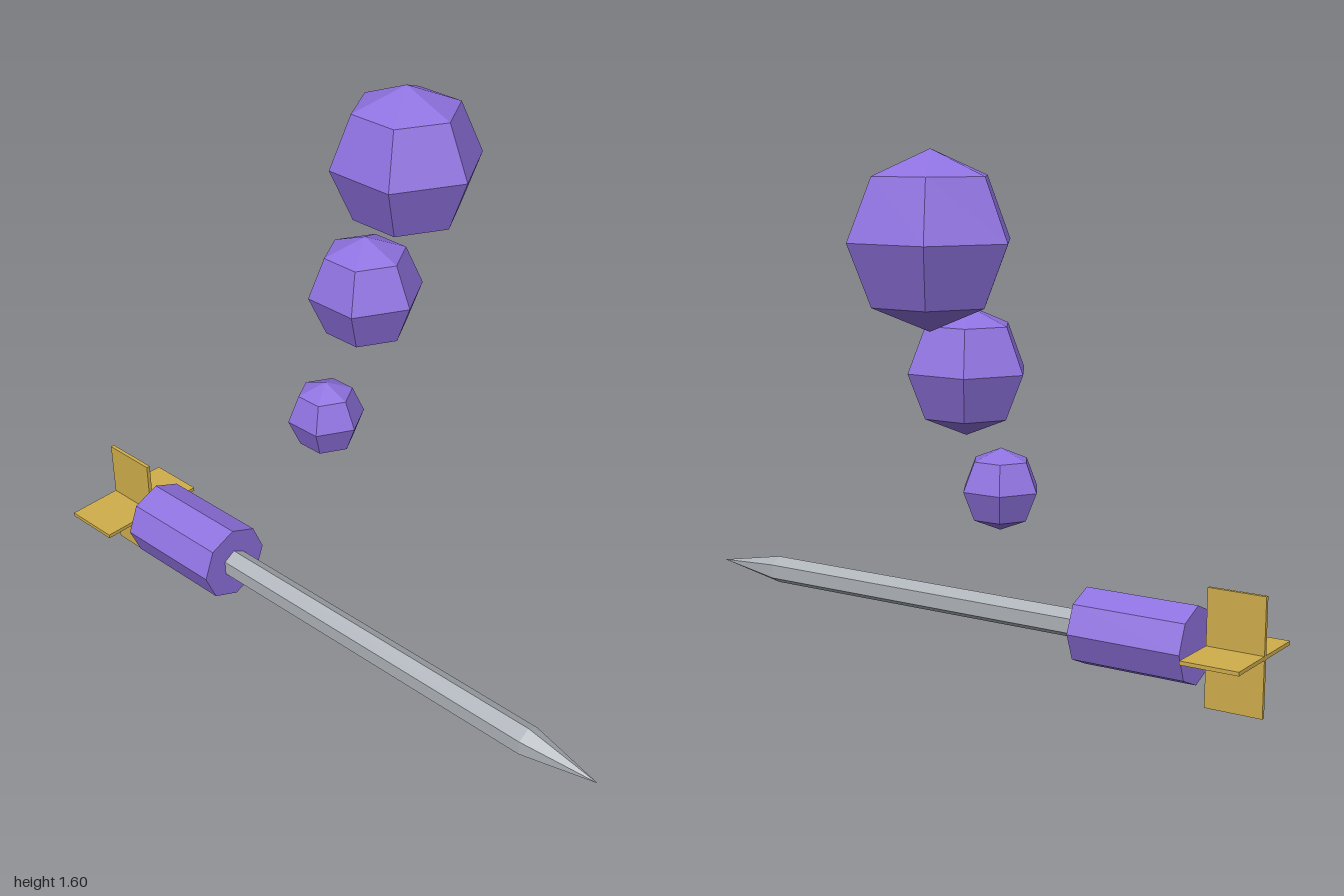
import * as THREE from 'three';

export function createModel() {
  const model = new THREE.Group();
  const flat = (name, color) => {
    const m = new THREE.MeshStandardMaterial({ color });
    m.name = name;
    return m;
  };
  const purple = flat('purple', 0x8f72e0);
  const steel = flat('steel', 0xafb4ba);
  const gold = flat('gold', 0xd0ae4c);

  function add(parent, name, geometry, material, x, y, z) {
    // unshared vertices give the faceted low-poly look
    const g = geometry.index ? geometry.toNonIndexed() : geometry;
    g.computeVertexNormals();
    const mesh = new THREE.Mesh(g, material);
    mesh.name = name;
    mesh.position.set(x, y, z);
    parent.add(mesh);
  }

  // prism or cone lying along z, from z0 (back) to z1 (front)
  const rod = (r1, r0, z0, z1, sides) =>
    new THREE.CylinderGeometry(r1, r0, z1 - z0, sides)
      .rotateX(Math.PI / 2).translate(0, 0, (z0 + z1) / 2);

  // dart
  const dart = new THREE.Group();
  dart.name = 'dart';
  dart.position.set(-0.348, 0.181, 0);
  model.add(dart);
  add(dart, 'shaft', rod(0.045, 0.045, -0.44, 0.76, 6), steel, 0, 0, 0);
  add(dart, 'tip', rod(0, 0.045, 0.76, 1, 6), steel, 0, 0, 0);
  add(dart, 'grip', rod(0.12, 0.12, -0.79, -0.425, 8), purple, 0, 0, 0);
  add(dart, 'horizontalFin', new THREE.BoxGeometry(0.36, 0.012, 0.18), gold, 0, 0, -0.91);
  add(dart, 'verticalFin', new THREE.BoxGeometry(0.012, 0.36, 0.18), gold, 0, 0, -0.91);

  // rising trail of faceted puffs
  [0.12, 0.18, 0.24].forEach((r, i) => {
    const ball = new THREE.SphereGeometry(r, 6, 4).rotateY(Math.PI / 6);
    add(model, 'puff' + (i + 1), ball, purple, -0.047 + 0.1825 * i, 0.638 + 0.3635 * i, -0.303);
  });

  return model;
}
